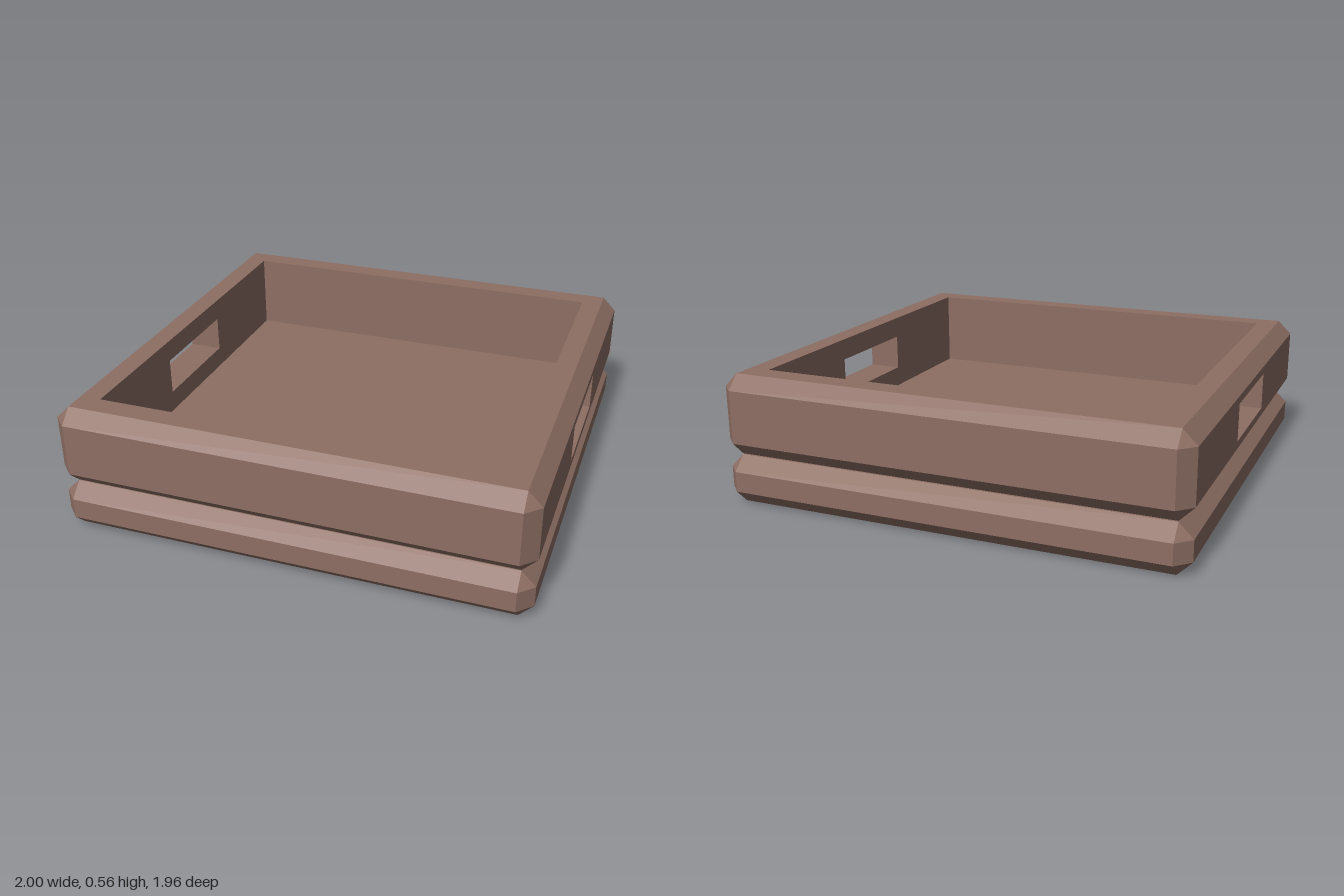
import * as THREE from 'three';

const BEVEL = 0.06, HX = 1, HZ = 0.98;   // bevel size and outer half sizes
const CX = 0.85, CZ = 0.825;             // half sizes of the tray opening
const material = new THREE.MeshStandardMaterial({ color: 0x8d6e63, flatShading: true });

// Rectangle with corners cut by c, counter-clockwise from above; sides 0 and 4 face +x and -x
function ring(y, hx, hz, c = 0) {
  return [
    [hx, hz - c], [hx, c - hz], [hx - c, -hz], [c - hx, -hz],
    [-hx, c - hz], [-hx, hz - c], [c - hx, hz], [hx - c, hz],
  ].map(([x, z]) => new THREE.Vector3(x, y, z));
}

// Joins successive rings with quads, dropping collapsed triangles and skipped sides
function loft(rings, skip = () => false) {
  const points = [];
  const tri = (a, b, c) => {
    if (new THREE.Triangle(a, b, c).getArea() > 1e-7) points.push(a, b, c);
  };
  for (let r = 0; r < rings.length - 1; r++) {
    for (let i = 0; i < 8; i++) {
      if (skip(r, i)) continue;
      const j = (i + 1) % 8, low = rings[r], high = rings[r + 1];
      tri(low[i], low[j], high[j]);
      tri(low[i], high[j], high[i]);
    }
  }
  const geometry = new THREE.BufferGeometry().setFromPoints(points);
  geometry.computeVertexNormals();
  return geometry;
}

// Outer skin of a bevelled block, from bottom to top
const bevelled = (y0, y1) => [
  ring(y0, HX - BEVEL, HZ - BEVEL),
  ring(y0 + BEVEL, HX, HZ, BEVEL),
  ring(y1 - BEVEL, HX, HZ, BEVEL),
  ring(y1, HX - BEVEL, HZ - BEVEL),
];

function rectangle(path, z, y0, y1) {
  path.moveTo(-z, y0);
  path.lineTo(z, y0);
  path.lineTo(z, y1);
  path.lineTo(-z, y1);
  path.closePath();
  return path;
}

export function createModel() {
  const group = new THREE.Group();
  const add = (name, geometry) => {
    const mesh = new THREE.Mesh(geometry, material);
    mesh.name = name;
    group.add(mesh);
    return mesh;
  };

  // Solid base slab, closed at both ends; its top is the floor of the tray
  const baseTop = 0.208;
  add('base', loft([ring(0, 0, 0), ...bevelled(0, baseTop), ring(baseTop, 0, 0)]));

  // Tray frame: outside, rim, inside and underside, left open where the handle walls sit
  const y0 = 0.212, y1 = 0.56;
  const inner = [y1, y1 - BEVEL, y0 + BEVEL, y0].map((y) => ring(y, CX, CZ));
  const outer = bevelled(y0, y1);
  add('trayFrame', loft([...outer, ...inner, outer[0]],
    (r, i) => (r === 1 || r === 5) && i % 4 === 0));

  // Side walls pierced by the handle slots
  const shape = rectangle(new THREE.Shape(), HZ - BEVEL, y0 + BEVEL, y1 - BEVEL);
  shape.holes.push(rectangle(new THREE.Path(), 0.247, 0.305, 0.465));
  const wall = new THREE.ExtrudeGeometry(shape, { depth: HX - CX, bevelEnabled: false });
  wall.translate(0, 0, CX);
  for (const [name, side] of [['leftHandleWall', 1], ['rightHandleWall', -1]]) {
    add(name, wall).rotation.y = side * Math.PI / 2;
  }
  return group;
}
